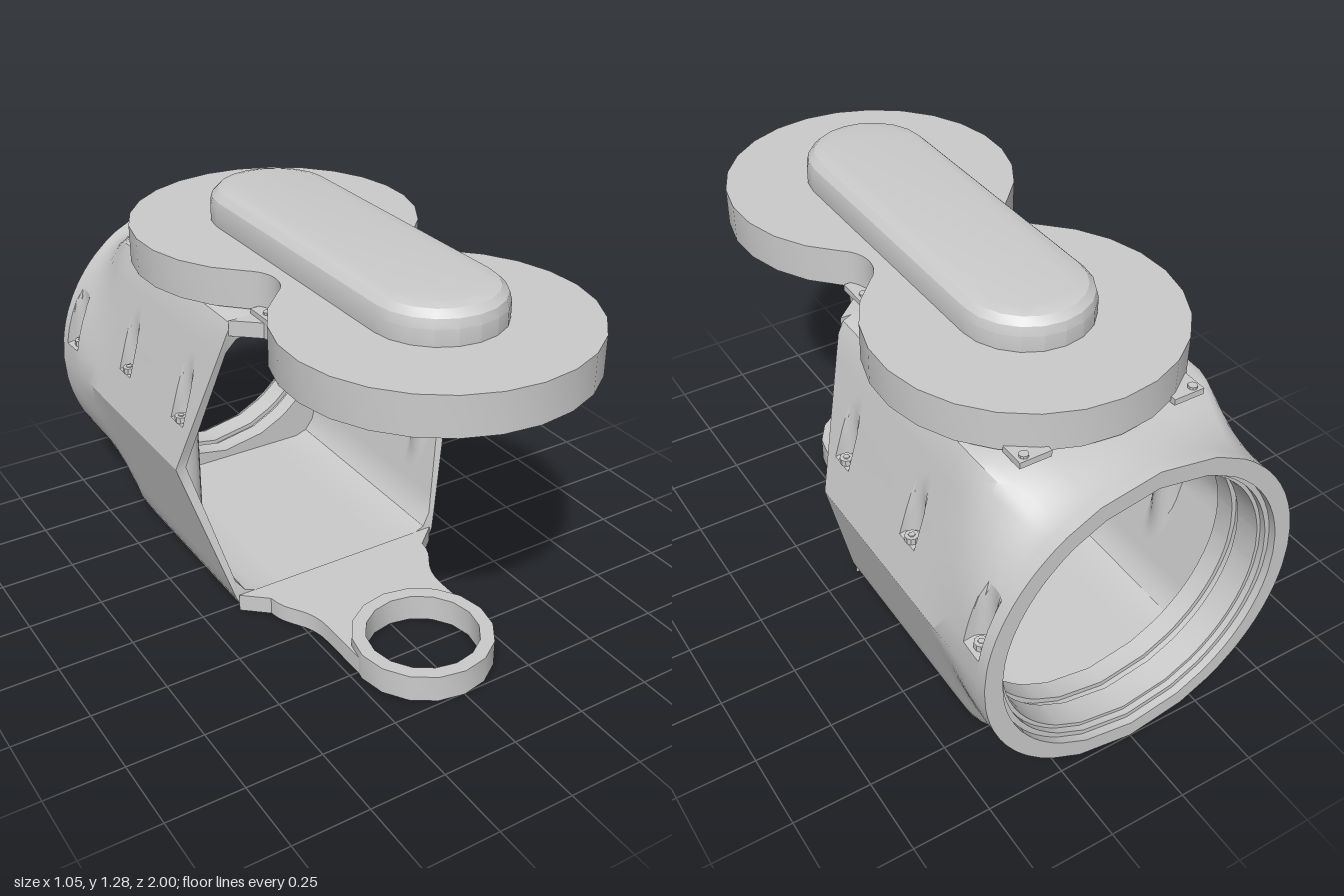
import * as THREE from 'three';
import { toCreasedNormals } from 'three/addons/utils/BufferGeometryUtils.js';

const MAT = new THREE.MeshStandardMaterial({ color: 0xcccccc });
const CY = 0.525; // height of the bore axis
const RING_Z = 0.53; // centre of the front lugs

// Side screw recesses: x, z, floor height
const SLOTS = [
  { x: 0.47, z: -0.14, floor: 0.66 },
  { x: 0.47, z: -0.53, floor: 0.66 },
  { x: 0.485, z: -0.92, floor: 0.6025 },
];

function part(name, geometry, crease = 0.5) {
  const mesh = new THREE.Mesh(toCreasedNormals(geometry, crease), MAT);
  mesh.name = name;
  return mesh;
}

// Extrudes a shape drawn in x and z between two heights
function slab(shape, y0, y1, segments, bevel = {}) {
  const g = new THREE.ExtrudeGeometry(shape, {
    depth: y1 - y0, bevelEnabled: false, curveSegments: segments, ...bevel,
  });
  return g.rotateX(Math.PI / 2).translate(0, y1, 0);
}

// Mirrors a top right quarter section (x, height above axis) into a closed ring
function fullRing(q) {
  const right = [...q, ...q.slice(0, -1).reverse().map(([x, y]) => [x, -y])];
  const left = right.slice(1, -1).reverse().map(([x, y]) => [-x, y]);
  return [...right, ...left];
}

// Quarter section: flat top, rounded corner, then a straight slope to the side
function quarter(start, sideX) {
  const [cx, cy] = start[start.length - 1];
  const side = [0.93, 0.89, 0.85, 0.8, 0.75, 0.7, 0.661, 0.659, 0.63, 0.603, 0.599, CY].map((y) => {
    const t = (1 - y) / (1 - CY);
    return [cx + (sideX - cx) * t, cy * (1 - t)];
  });
  return fullRing([...start, ...side]);
}

const frontEdge = (y) => -0.085 + 0.115 * Math.min(1, Math.abs(y) / 0.47);
const toCircle = ([x, y], r) => {
  const k = r / Math.hypot(x, y);
  return [x * k, y * k];
};

// Stations across each cylinder of radius r, front to back
function stations(slots, r) {
  return slots.flatMap(({ z }) => [
    z + r + 0.0002,
    ...[4, 3, 2, 1, 0, -1, -2, -3, -4].map((k) => z + r * Math.sin((k * Math.PI) / 8)),
    z - r - 0.0002,
  ]);
}

// Pulls the side wall in to the inner edge of a vertical cylinder
function pressIn([x, y], z, slots, r, useFloor) {
  for (const s of slots) {
    const dz = Math.abs(z - s.z);
    if (dz > r + 1e-6 || (useFloor && y + CY < s.floor)) continue;
    if (Math.abs(y) > 0.42) continue;
    const limit = s.x - Math.sqrt(Math.max(0, r * r - dz * dz));
    x = Math.sign(x) * Math.min(Math.abs(x), limit);
  }
  return [x, y];
}

function housing() {
  const outer = quarter([[0, 0.525], [0.2, 0.525], [0.345, 0.525], [0.372, 0.512], [0.39, 0.475]], 0.525);
  const inner = quarter([[0, 0.47], [0.2, 0.47], [0.31, 0.47], [0.355, 0.455], [0.385, 0.415]], 0.49);
  const rows = [];
  // Outside: six sided at the front, round at the back
  rows.push(outer.map(([x, y]) => [x, y, frontEdge(y)]));
  const zs = [...stations(SLOTS, 0.04), -0.64, -0.7, -0.74, -0.78, -0.82, -0.85, -1].sort((a, b) => b - a);
  for (const z of zs) {
    const s = THREE.MathUtils.smoothstep(-z, 0.68, 0.97);
    rows.push(outer.map((p) => {
      const c = toCircle(p, 0.525);
      const q = [p[0] + (c[0] - p[0]) * s, p[1] + (c[1] - p[1]) * s];
      return [...pressIn(q, z, SLOTS, 0.04, true), z];
    }));
  }
  // Stepped round bore
  const bore = [[-1, 0.468], [-0.975, 0.468], [-0.975, 0.452], [-0.955, 0.452], [-0.955, 0.44],
    [-0.87, 0.44], [-0.87, 0.456], [-0.845, 0.456], [-0.845, 0.44], [-0.78, 0.44]];
  for (const [z, r] of bore) rows.push(outer.map((p) => [...toCircle(p, r), z]));
  // Inside, with bosses behind the screws
  const bosses = SLOTS.slice(0, 2);
  for (const z of [-0.78, ...stations(bosses, 0.05).reverse()]) {
    rows.push(inner.map((p) => [...pressIn(p, z, bosses, 0.05, false), z]));
  }
  rows.push(inner.map(([x, y]) => [x, y, frontEdge(y)]));
  rows.push(rows[0]);

  const n = outer.length;
  const index = [];
  for (let i = 0; i < rows.length - 1; i++) {
    for (let j = 0; j < n; j++) {
      const a = i * n + j, b = i * n + ((j + 1) % n);
      index.push(a, b, a + n, b, b + n, a + n);
    }
  }
  const g = new THREE.BufferGeometry();
  g.setAttribute('position', new THREE.Float32BufferAttribute(rows.flat(2), 3));
  g.setIndex(index);
  return g.translate(0, CY, 0);
}

function hole(r) {
  return new THREE.Path().absarc(0, RING_Z, r, 0, Math.PI * 2, true);
}

// Flat arm narrowing from the housing to the lug
function armShape() {
  const s = new THREE.Shape();
  s.moveTo(-0.38, 0.03);
  s.lineTo(0.38, 0.03);
  s.lineTo(0.3, 0.1);
  s.bezierCurveTo(0.29, 0.2, 0.22, 0.2, 0.22, 0.33);
  s.lineTo(0.22, RING_Z);
  s.absarc(0, RING_Z, 0.22, 0, Math.PI, false);
  s.lineTo(-0.22, 0.33);
  s.bezierCurveTo(-0.22, 0.2, -0.29, 0.2, -0.3, 0.1);
  s.holes.push(hole(0.185));
  return s;
}

function lugShape() {
  const s = new THREE.Shape().absarc(0, RING_Z, 0.225, 0, Math.PI * 2, false);
  s.holes.push(hole(0.18));
  return s;
}

// Two discs joined by a filleted waist
function coverShape() {
  const R = 0.465, mid = 0.085, d = 0.45, waist = 0.25;
  const f = (waist * waist + d * d - R * R) / (2 * (R - waist));
  const a = Math.atan2(d, waist + f), PI = Math.PI;
  const s = new THREE.Shape();
  s.absarc(0, mid + d, R, -a, PI + a, false);
  s.absarc(-waist - f, mid, f, a, -a, true);
  s.absarc(0, mid - d, R, PI - a, 2 * PI + a, false);
  s.absarc(waist + f, mid, f, PI + a, PI - a, true);
  return s;
}

function capsuleShape(r, z0, z1) {
  const s = new THREE.Shape();
  s.absarc(0, z1 - r, r, 0, Math.PI, false);
  s.absarc(0, z0 + r, r, Math.PI, Math.PI * 2, false);
  return s;
}

export function createModel() {
  const model = new THREE.Group();
  model.name = 'hingedHousing';
  model.add(part('housing', housing()));

  // Upper and lower arms with ring lugs
  model.add(part('upperArm', slab(armShape(), 1.0, 1.05, 8)));
  model.add(part('lowerArm', slab(armShape(), 0, 0.06, 8)));
  model.add(part('upperLug', slab(lugShape(), 0.965, 1.056, 8)));
  model.add(part('lowerLug', slab(lugShape(), 0, 0.09, 8)));

  // Cover plate and raised spine
  model.add(part('coverPlate', slab(coverShape(), 1.053, 1.175, 10)));
  model.add(part('coverSpine', slab(capsuleShape(0.15, -0.51, 0.68), 1.15, 1.225, 5, {
    bevelEnabled: true, bevelThickness: 0.055, bevelSize: 0.055, bevelSegments: 3,
  }), 0.4));

  for (const side of [1, -1]) {
    // Screws sunk in the side recesses
    for (const { x, z, floor } of SLOTS) {
      const screw = new THREE.Group();
      screw.name = 'sideScrew';
      screw.add(part('screwHead', new THREE.CylinderGeometry(0.021, 0.021, 0.02, 10)));
      const pin = part('screwPin', new THREE.CylinderGeometry(0.01, 0.01, 0.026, 6));
      screw.add(pin);
      screw.position.set(side * x, floor + 0.01, z);
      model.add(screw);
    }
    // Small fixing tabs at the cover's corners
    for (const [z, tabZ, len] of [[-0.78, -0.76, 0.08], [0.08, 0.09, 0.14]]) {
      const tab = part('coverTab', new THREE.BoxGeometry(0.1, 0.02, len));
      tab.position.set(side * 0.25, 1.056, tabZ);
      const bolt = part('tabScrew', new THREE.CylinderGeometry(0.014, 0.014, 0.01, 10));
      bolt.position.set(side * 0.275, 1.069, z);
      model.add(tab, bolt);
    }
  }
  return model;
}
